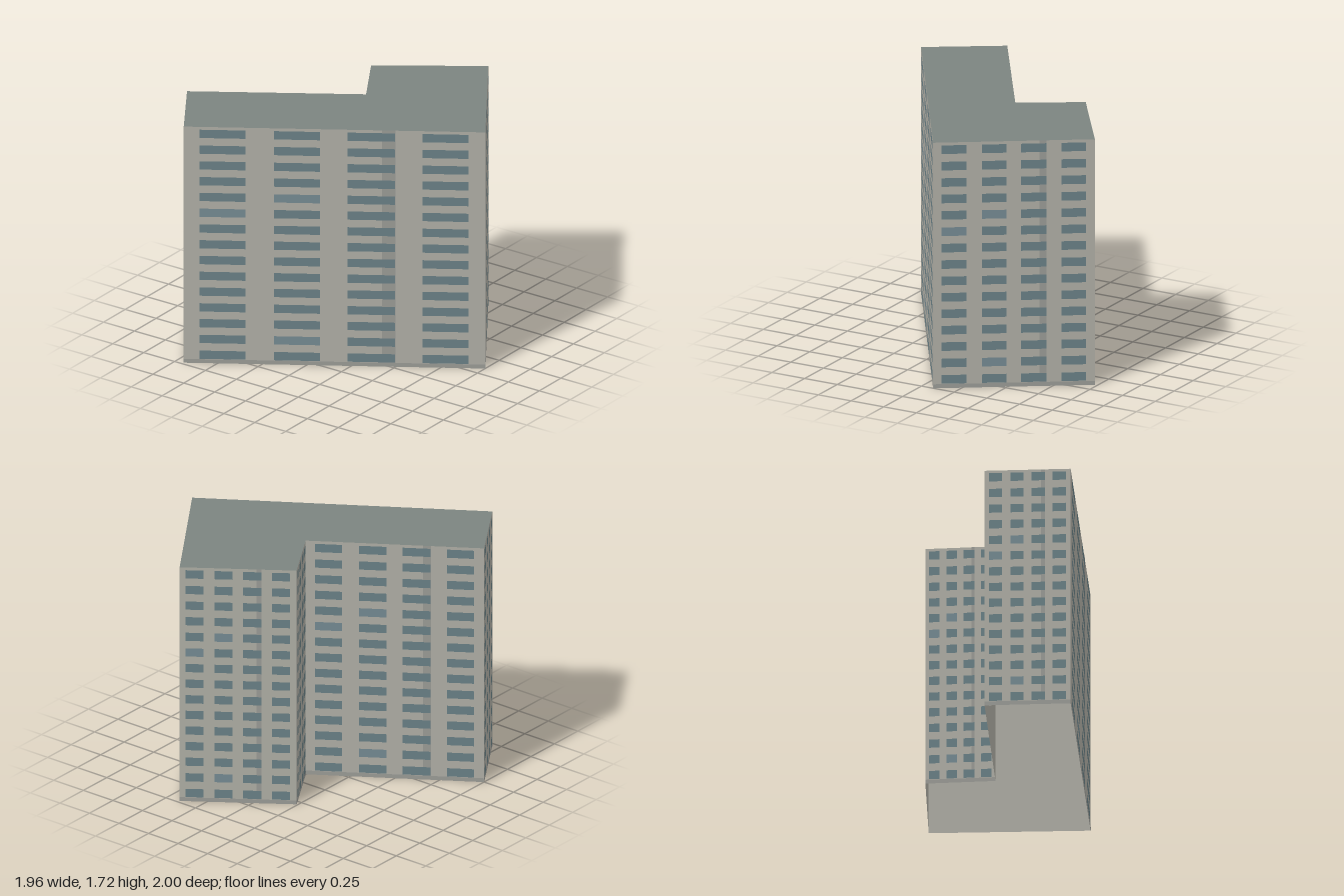
import * as THREE from 'three';
import { mergeGeometries } from 'three/addons/utils/BufferGeometryUtils.js';

const HEIGHT = 1.715, ROWS = 15, FLOOR = 0.1146;
// L-shaped footprint as [x, z]; each wall runs left to right seen from outside
const FOOTPRINT = [[-0.98, -0.69], [0.09, 1], [0.98, 0.4], [0.54, -0.24], [0.14, 0], [-0.5, -1]];
// window columns as fractions of the wall length
const COLUMNS = [[0.052, 0.205], [0.3, 0.452], [0.543, 0.7], [0.792, 0.945]];
// panes with a lighter tint, as row,column
const LIGHT_PANES = new Set(['9,0', '10,1', '1,1']);

const paint = (color, side = THREE.FrontSide) =>
  new THREE.MeshStandardMaterial({ color, side });

// upright rectangle facing +z
function panel(x0, x1, y0, y1, z) {
  return new THREE.PlaneGeometry(x1 - x0, y1 - y0).translate((x0 + x1) / 2, (y0 + y1) / 2, z);
}

export function createModel() {
  const building = new THREE.Group();
  building.name = 'apartmentBlock';
  const wallPaint = paint(0xb0afa6, THREE.DoubleSide);
  const trimPaint = paint(0x9b9c97);
  const glassPaint = paint(0x6a8187);
  const lightGlassPaint = paint(0x758b93);
  const roofPaint = paint(0x7c8480, THREE.DoubleSide);

  const add = (parent, name, geometry, material) => {
    const mesh = new THREE.Mesh(geometry, material);
    mesh.name = name;
    parent.add(mesh);
  };

  // one facade per footprint edge
  FOOTPRINT.forEach(([x, z], i) => {
    const [nx, nz] = FOOTPRINT[(i + 1) % FOOTPRINT.length];
    const length = Math.hypot(nx - x, nz - z);
    const facade = new THREE.Group();
    facade.name = 'facade' + (i + 1);
    facade.position.set(x, 0, z);
    facade.rotation.y = Math.atan2(z - nz, nx - x);
    building.add(facade);

    add(facade, 'wall', panel(0, length, 0, HEIGHT, 0), wallPaint);
    // base course and downpipe strip
    add(facade, 'trim', mergeGeometries([
      panel(0, length, 0, 0.028, 0.001),
      panel(0.658 * length, 0.702 * length, 0.028, HEIGHT, 0.001),
    ]), trimPaint);

    // window grid
    const panes = [], lightPanes = [];
    for (let row = 0; row < ROWS; row++) {
      const y = 0.031 + row * FLOOR;
      COLUMNS.forEach(([a, b], col) => {
        const list = LIGHT_PANES.has(row + ',' + col) ? lightPanes : panes;
        list.push(panel(a * length, b * length, y, y + 0.06, 0.002));
      });
    }
    add(facade, 'windows', mergeGeometries(panes), glassPaint);
    add(facade, 'lightWindows', mergeGeometries(lightPanes), lightGlassPaint);
  });

  // flat roof; the underside stays open
  const outline = new THREE.Shape(FOOTPRINT.map(([x, z]) => new THREE.Vector2(x, -z)));
  const roof = new THREE.ShapeGeometry(outline).rotateX(-Math.PI / 2).translate(0, HEIGHT, 0);
  add(building, 'roof', roof, roofPaint);

  return building;
}
